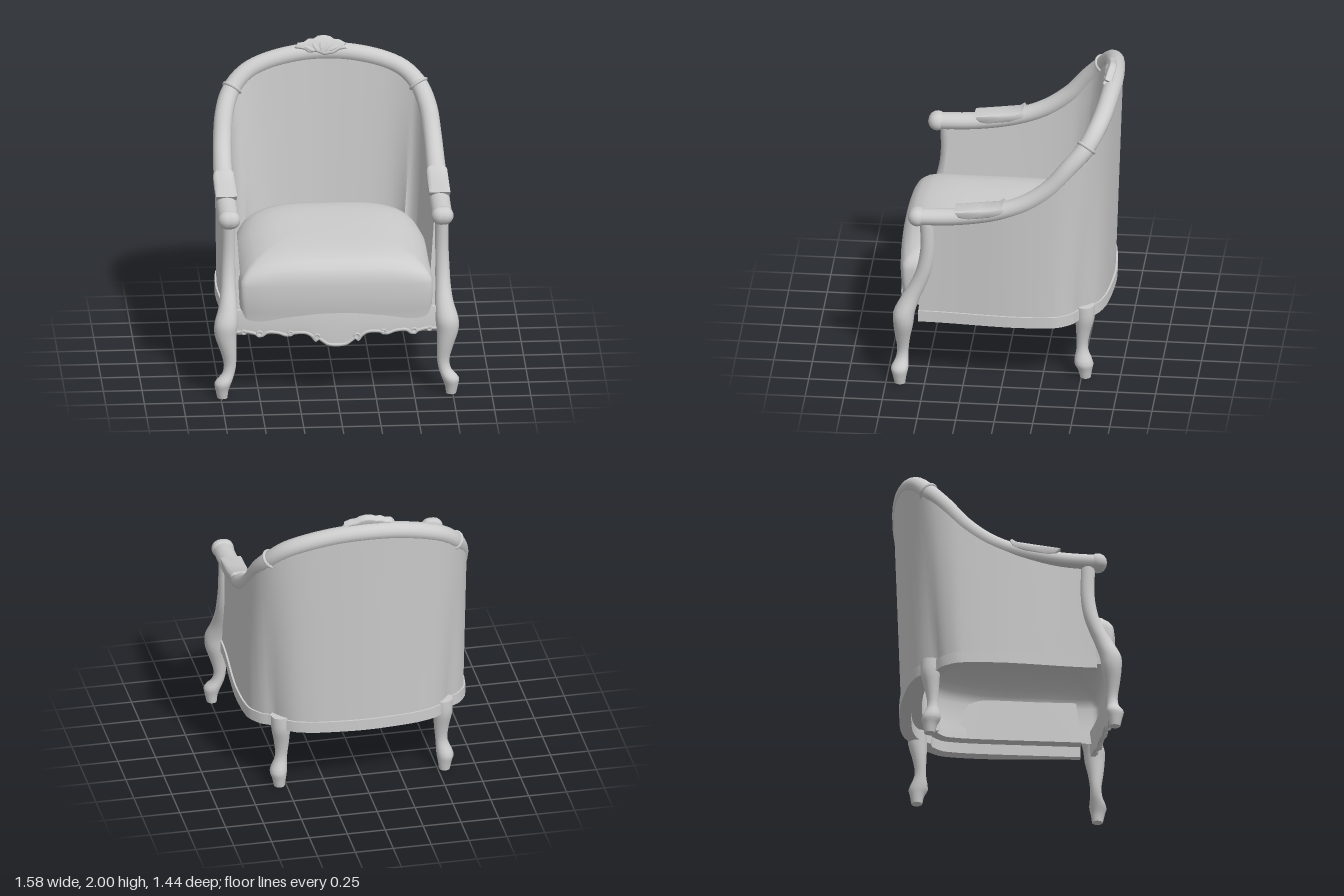
import * as THREE from 'three';
import { toCreasedNormals } from 'three/addons/utils/BufferGeometryUtils.js';

const V = (x, y, z) => new THREE.Vector3(x, y, z);
const { smoothstep, lerp } = THREE.MathUtils;

// Solid through a list of rings (equal point counts), wound outwards.
function loft(rings, crease = 0.7, openStart = false) {
  const n = rings[0].length, pts = rings.flat(), idx = [];
  for (let i = 0; i < rings.length - 1; i++) {
    for (let j = 0; j < n; j++) {
      const a = i * n + j, b = i * n + (j + 1) % n;
      idx.push(a, b, a + n, b, b + n, a + n);
    }
  }
  const cap = (ring, start, flip) => {
    const c = ring.reduce((s, p) => s.add(p), V(0, 0, 0)).divideScalar(n);
    const k = pts.push(c) - 1;
    for (let j = 0; j < n; j++) {
      const a = start + j, b = start + (j + 1) % n;
      idx.push(k, flip ? b : a, flip ? a : b);
    }
  };
  if (!openStart) cap(rings[0], 0, true);
  cap(rings[rings.length - 1], (rings.length - 1) * n, false);
  let volume = 0;
  for (let i = 0; i < idx.length; i += 3) {
    volume += pts[idx[i]].dot(pts[idx[i + 1]].clone().cross(pts[idx[i + 2]]));
  }
  if (volume < 0) idx.reverse();
  const g = new THREE.BufferGeometry().setFromPoints(pts);
  g.setIndex(idx);
  return toCreasedNormals(g, crease);
}

// Turned limb from [x, y, z, radiusX, radiusZ] stations.
function limb(stations, side) {
  const path = new THREE.CatmullRomCurve3(stations.map(s => V(s[0] * side, s[1], s[2])));
  const size = new THREE.CatmullRomCurve3(stations.map(s => V(s[3], s[4], s[1])));
  const steps = (stations.length - 1) * 3, rings = [];
  for (let i = 0; i <= steps; i++) {
    const p = path.getPoint(i / steps), r = size.getPoint(i / steps), ring = [];
    for (let j = 0; j < 16; j++) {
      const a = j / 16 * Math.PI * 2;
      ring.push(V(p.x + r.x * Math.cos(a), Math.max(0, p.y), p.z + r.y * Math.sin(a)));
    }
    rings.push(ring);
  }
  return loft(rings, 0.9);
}

export function createModel() {
  const model = new THREE.Group();
  const grey = new THREE.MeshStandardMaterial({ color: 0xcccccc, side: THREE.DoubleSide });
  grey.name = 'light grey';
  const add = (name, geometry) => {
    const m = new THREE.Mesh(geometry, grey);
    m.name = name;
    model.add(m);
    return m;
  };

  // Centre line of the arm and back rail, left arm front to right arm front
  const half = [[.69, 1.178, .56], [.69, 1.19, .3], [.69, 1.232, .05], [.688, 1.305, -.15], [.68, 1.42, -.31],
    [.66, 1.56, -.43], [.61, 1.675, -.53], [.52, 1.765, -.59], [.4, 1.82, -.625], [.2, 1.866, -.65]];
  const railCurve = new THREE.CatmullRomCurve3([
    ...half.map(p => V(...p)), V(0, 1.88, -.66), ...half.map(p => V(-p[0], p[1], p[2])).reverse()]);

  // Frame at a place along the rail: point, tangent, outward normal
  const railFrame = u => {
    const p = railCurve.getPointAt(u), t = railCurve.getTangentAt(u);
    return { p, t, n: V(-t.z, 0, t.x).normalize() };
  };

  // Rail, broad and flat at the arms, rounder at the back
  const railRings = [];
  for (let i = 0; i <= 96; i++) {
    const { p, t, n } = railFrame(i / 96), up = n.clone().cross(t), ring = [];
    const front = smoothstep(p.z, -.3, .2);
    for (let j = 0; j < 16; j++) {
      const a = j / 16 * Math.PI * 2;
      ring.push(p.clone().addScaledVector(n, lerp(.06, .066, front) * Math.cos(a))
        .addScaledVector(up, lerp(.058, .054, front) * Math.sin(a)));
    }
    railRings.push(ring);
  }
  add('topRail', loft(railRings, .9));

  // Columns of the shell: rail point, point on the seat frame, normal, outer offset
  const columns = [];
  for (let i = 0; i <= 72; i++) {
    const { p, n } = railFrame(.024 + .952 * i / 72);
    const corner = 4 * n.x * n.x * n.z * n.z;
    const b = V(p.x * .985, .5, p.z * (p.z > 0 ? 1.17 : .93)).addScaledVector(n, -.075 * corner);
    columns.push({ p, n, b, out: lerp(.05, .015, smoothstep(p.z, -.1, .45)) });
  }

  // Upholstered wrap-around back and sides
  const ROWS = 6;
  add('backShell', loft(columns.map(({ p, b, n, out }) => {
    const ring = [];
    for (let k = 0; k <= ROWS; k++) {
      ring.push(b.clone().lerp(p, k / ROWS).addScaledVector(n, out));
    }
    for (let k = ROWS; k >= 0; k--) {
      ring.push(b.clone().lerp(p, k / ROWS).addScaledVector(n, -.045 - .04 * (1 - k / ROWS)));
    }
    return ring;
  })));

  // Seat frame under the shell
  add('seatFrame', loft(columns.map(({ b, n, out }) =>
    [[out + .012, .428], [out + .012, .503], [-.015, .503], [-.015, .428]].map(([d, y]) =>
      V(b.x, y, b.z).addScaledVector(n, d)))));

  // Seat cushion, hollow below: outline shrinking towards a crowned top
  const seatHalf = [[.3, .69], [.55, .667], [.612, .645], [.622, .58], [.622, .3], [.61, -.15], [.53, -.42], [.33, -.53]];
  const outline = new THREE.CatmullRomCurve3([V(0, 0, .697), ...seatHalf.map(([x, z]) => V(x, 0, z)),
    V(0, 0, -.55), ...seatHalf.map(([x, z]) => V(-x, 0, z)).reverse()], true).getPoints(108).slice(0, -1);
  const levels = [[.5, .975], [.57, .985], [.6, .995], [.68, 1.003], [.76, 1.003], [.82, .993], [.87, .955], [.905, .885],
    [.926, .77], [.939, .6], [.945, .4], [.947, .1]];
  add('seatCushion', loft(levels.map(([y, s]) => outline.map(p => {
    const x = p.x * lerp(s, 1, .25), z = .08 + (p.z - .08) * s;
    const drop = .08 * Math.pow(Math.abs(x) / .62, 4) * smoothstep(y, .72, .92);
    return V(x, y - drop, z);
  })), 1, true));

  // Scalloped front apron
  const scallop = [[0, .352], [.06, .36], [.09, .38], [.12, .4], [.135, .382], [.16, .415], [.2, .437], [.28, .435],
    [.32, .42], [.38, .437], [.45, .437], [.49, .412], [.53, .428], [.58, .437], [.66, .43]];
  const edge = [...scallop.slice(1).map(([x, y]) => [-x, y]).reverse(), ...scallop];
  const front = x => .695 - .06 * Math.pow(x / .65, 2);
  add('frontApron', loft(edge.map(([x, y]) =>
    [V(x, y, front(x)), V(x, .5, front(x) + .003), V(x, .585, front(x) - .008), V(x, .585, front(x) - .04), V(x, y, front(x) - .025)])));
  add('apronBead', new THREE.TubeGeometry(new THREE.CatmullRomCurve3(
    edge.map(([x, y]) => V(x, y + .006, front(x)))), 110, .011, 6));

  // Collar position along the rail
  let collarU = 0;
  while (railCurve.getPointAt(collarU).y < 1.68) collarU += .002;

  for (const s of [1, -1]) {
    const side = s > 0 ? 'left' : 'right';

    // Front leg running up into the arm post
    add(side + 'FrontLeg', limb([[.69, 1.17, .49, .042, .047], [.69, .95, .485, .044, .047], [.693, .8, .508, .047, .05],
      [.695, .7, .545, .05, .054], [.7, .6, .595, .06, .062], [.715, .5, .635, .075, .07], [.718, .42, .64, .07, .065],
      [.702, .32, .645, .053, .05], [.69, .22, .645, .04, .037], [.702, .16, .65, .041, .041],
      [.735, .105, .662, .055, .056], [.742, .055, .662, .043, .045], [.74, 0, .66, .033, .035]], s));

    // Rear leg
    add(side + 'RearLeg', limb([[.535, .515, -.52, .064, .062], [.535, .42, -.52, .062, .062], [.528, .32, -.51, .05, .047],
      [.53, .2, -.503, .04, .037], [.55, .105, -.515, .056, .062], [.547, .055, -.523, .045, .046],
      [.545, 0, -.525, .035, .035]], s));

    // Rounded scroll at the arm end
    const knob = new THREE.CapsuleGeometry(.06, .025, 6, 16);
    knob.rotateZ(Math.PI / 2);
    knob.translate(.69 * s, 1.18, .552);
    add(side + 'ArmScroll', knob);

    // Carved leaf wrapped over the arm
    const leaf = [[.31, 1.25], [.15, 1.275], [.02, 1.295], [-.01, 1.315], [-.02, 1.3], [-.005, 1.26], [.08, 1.215],
      [.22, 1.19], [.28, 1.205]];
    add(side + 'ArmLeaf', loft([[.622, .6], [.628, .82], [.645, 1], [.735, 1], [.752, .82], [.758, .6]].map(([x, k]) =>
      leaf.map(([z, y]) => V(x * s, 1.245 + (y - 1.245) * k, .14 + (z - .14) * (k * .1 + .9)))), .9));

    // Collar around the back rail
    const { p, t } = railFrame(s > 0 ? collarU : 1 - collarU);
    const collar = add(side + 'RailCollar', new THREE.TorusGeometry(.058, .012, 8, 24));
    collar.position.copy(p);
    collar.quaternion.setFromUnitVectors(V(0, 0, 1), t);

    // Small scroll carvings on the apron
    for (const [x, y, r] of [[.13, .415, .017], [.3, .44, .013], [.5, .432, .017], [.6, .44, .012]]) {
      const scroll = new THREE.TorusGeometry(r, .008, 6, 14);
      scroll.translate(x * s, y, front(x) + .003);
      add(side + 'ApronScroll', scroll);
    }
  }

  // Shell-like crest carving leaning back on the top rail
  const LEAN = -.45;
  const crestPts = [[-.19, 1.925], [-.17, 1.95], [-.13, 1.955], [-.1, 1.975], [-.065, 1.975], [-.04, 1.99], [0, 1.995],
    [.04, 1.985], [.06, 1.97], [.1, 1.965], [.135, 1.945], [.125, 1.93], [.14, 1.915], [.1, 1.91], [.06, 1.89],
    [0, 1.88], [-.05, 1.9], [-.1, 1.895], [-.13, 1.915]].map(([x, y]) => new THREE.Vector2(x, y - 1.88));
  const crest = new THREE.ExtrudeGeometry(new THREE.Shape(crestPts),
    { depth: .02, bevelEnabled: true, bevelThickness: .014, bevelSize: .008, bevelOffset: -.004, bevelSegments: 3 });
  crest.rotateX(LEAN);
  crest.scale(1, 1.08, 1);
  crest.translate(0, 1.87, -.615);
  add('crest', toCreasedNormals(crest, .8));

  // Fanned ribs on the crest
  for (let i = -2; i <= 2; i++) {
    const rib = new THREE.SphereGeometry(1, 10, 8);
    rib.scale(.014, .04, .01);
    rib.rotateZ(-i * .55);
    rib.translate(i * .04 - .02, .06 - Math.abs(i) * .01, .031);
    rib.rotateX(LEAN);
    rib.translate(0, 1.87, -.615);
    add('crestRib', rib);
  }

  return model;
}
